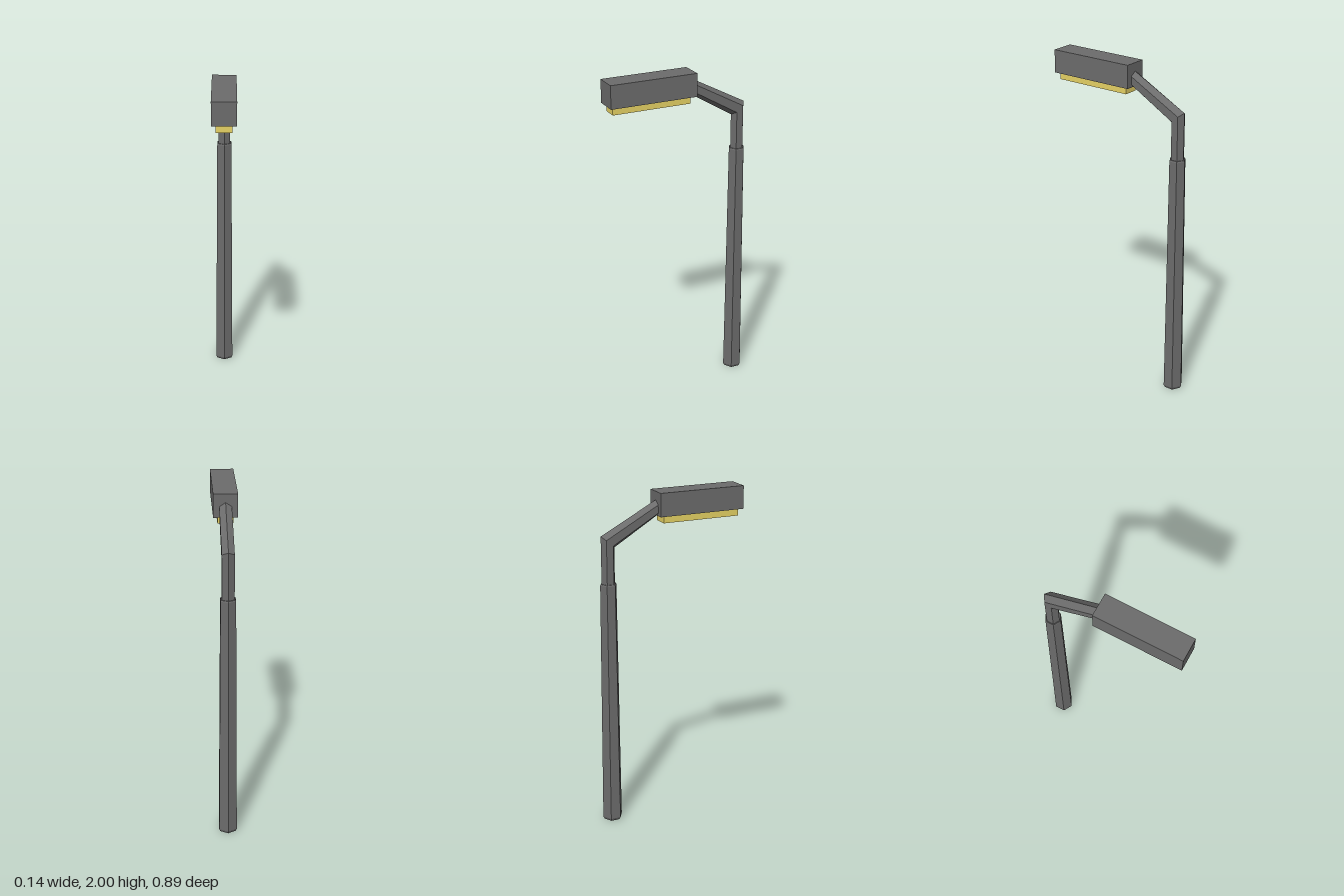
import * as THREE from 'three';

const POLE_Z = -0.384;

export function createModel() {
  const group = new THREE.Group();
  const metal = new THREE.MeshStandardMaterial({ color: 0x6c6c6c, flatShading: true });
  const glow = new THREE.MeshStandardMaterial({ color: 0xe6d264, flatShading: true });

  const add = (name, geometry, material, x, y, z) => {
    const mesh = new THREE.Mesh(geometry, material);
    mesh.name = name;
    mesh.position.set(x, y, z);
    group.add(mesh);
  };

  // Six-sided tapered pole with chamfered foot and shoulder
  const profile = [[0, 0], [0.053, 0], [0.061, 0.016], [0.05, 1.485], [0.047, 1.493], [0, 1.493]]
    .map(([r, y]) => new THREE.Vector2(r, y));
  add('pole', new THREE.LatheGeometry(profile, 6), metal, 0, 0, POLE_Z);

  // Bent six-sided arm: the three rings of a tube are placed at the pole, elbow and head
  const r = 0.041;
  const arm = new THREE.CylinderGeometry(r, r, 2, 6, 2, true);
  const p = arm.attributes.position;
  for (let i = 0; i < p.count; i++) {
    const row = Math.round(p.getY(i)); // -1 pole, 0 elbow, 1 head
    const dz = p.getZ(i);
    if (row < 0) p.setY(i, 1.48);
    else if (row === 0) p.setY(i, 1.736 - 0.87 * dz);
    else {
      p.setY(i, 1.906 - 1.15 * dz);
      p.setZ(i, -0.08 - POLE_Z);
    }
  }
  arm.computeVertexNormals();
  add('arm', arm, metal, 0, 0, POLE_Z);

  // Lamp housing with the light panel beneath it
  add('lampHousing', new THREE.BoxGeometry(0.14, 0.137, 0.53), metal, 0, 1.9315, 0.18);
  add('lightPanel', new THREE.BoxGeometry(0.09, 0.05, 0.48), glow, 0, 1.845, 0.185);

  return group;
}
